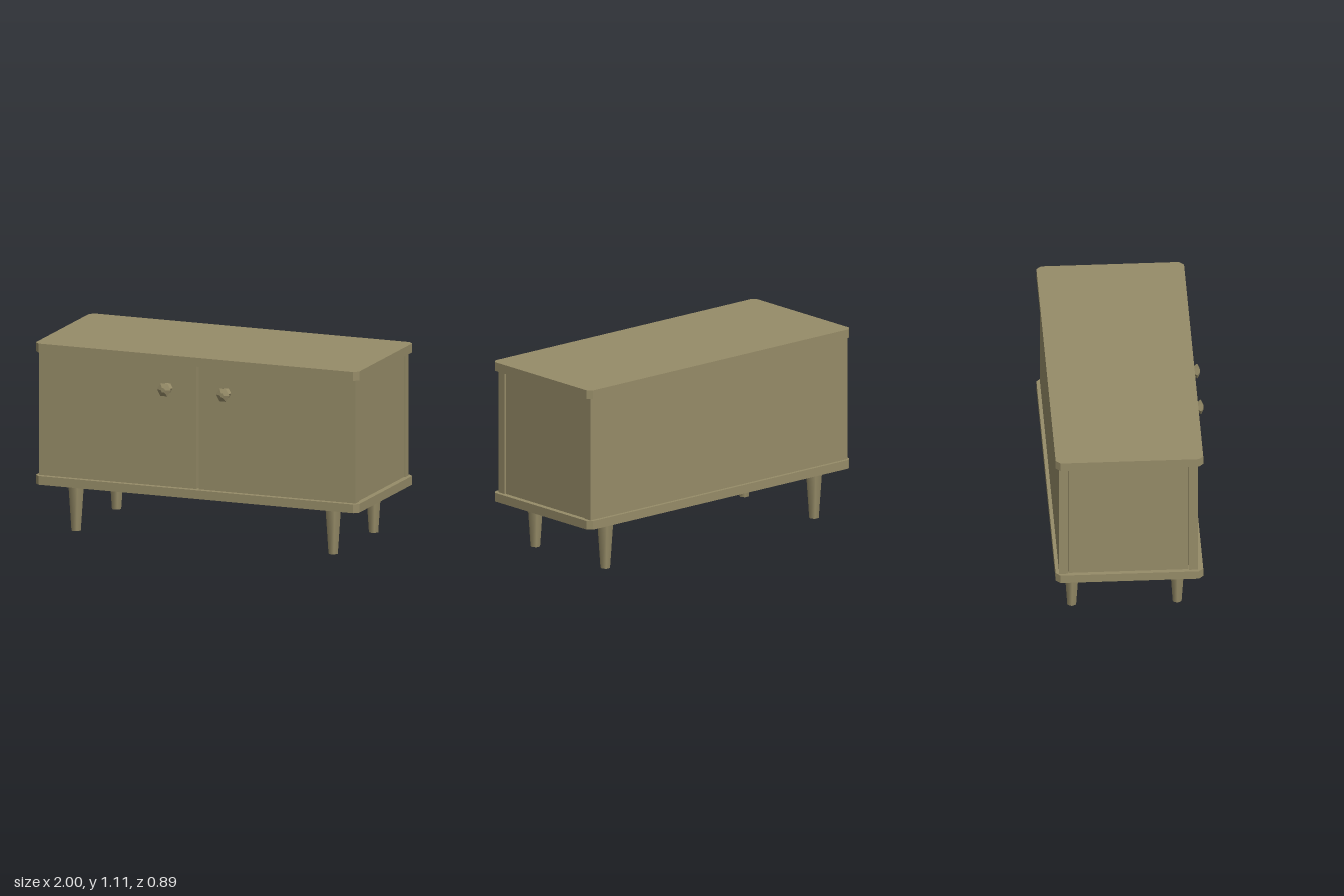
import * as THREE from 'three';

const wood = new THREE.MeshStandardMaterial({ color: 0x968c68 });
const woodFlat = new THREE.MeshStandardMaterial({ color: 0x968c68, flatShading: true });

export function createModel() {
  const model = new THREE.Group();
  model.name = 'sideboard';

  const add = (name, geometry, material = wood) => {
    const mesh = new THREE.Mesh(geometry, material);
    mesh.name = name;
    model.add(mesh);
    return mesh;
  };

  // Box given by its limits on each axis
  const panel = (name, [x0, x1], [y0, y1], [z0, z1]) =>
    add(name, new THREE.BoxGeometry(x1 - x0, y1 - y0, z1 - z0))
      .position.set((x0 + x1) / 2, (y0 + y1) / 2, (z0 + z1) / 2);

  // Top and bottom boards with clipped corners
  const board = (name, y0, y1) => {
    const w = 1, d = 0.4225, c = 0.027;
    const outline = new THREE.Shape([
      [-w + c, -d], [w - c, -d], [w, -d + c], [w, d - c],
      [w - c, d], [-w + c, d], [-w, d - c], [-w, -d + c],
    ].map(([x, y]) => new THREE.Vector2(x, y)));
    const geometry = new THREE.ExtrudeGeometry(outline, { depth: y1 - y0, bevelEnabled: false });
    geometry.rotateX(-Math.PI / 2).translate(0, y0, -0.0225);
    add(name, geometry, woodFlat);
  };
  board('topBoard', 1.055, 1.107);
  board('bottomBoard', 0.28, 0.331);

  // Carcass: back, two sides with narrow gaps, two doors
  panel('backPanel', [-0.982, 0.976], [0.331, 1.055], [-0.425, -0.375]);
  panel('rightSide', [-0.974, -0.925], [0.331, 1.05], [-0.372, 0.314]);
  panel('leftSide', [0.919, 0.968], [0.331, 1.05], [-0.372, 0.314]);
  panel('rightDoor', [-0.982, -0.011], [0.331, 1.055], [0.319, 0.37]);
  panel('leftDoor', [0.005, 0.976], [0.331, 1.055], [0.319, 0.37]);

  // Six-sided flared knobs
  const knobProfile = [[0, 0], [0.031, 0], [0.021, 0.026], [0.043, 0.058], [0.014, 0.072], [0, 0.072]]
    .map(([r, y]) => new THREE.Vector2(r, y));
  const knob = new THREE.LatheGeometry(knobProfile, 6).rotateY(Math.PI / 6).rotateX(Math.PI / 2);

  // Tapered six-sided legs
  const leg = new THREE.CylinderGeometry(0.049, 0.029, 0.281, 6).rotateY(Math.PI / 6);

  for (const [side, s] of [['left', 1], ['right', -1]]) {
    add(side + 'Knob', knob, woodFlat).position.set(s * 0.182 - 0.003, 0.91, 0.373);
    add(side + 'FrontLeg', leg).position.set(s * 0.795 - 0.003, 0.1405, 0.26);
    add(side + 'BackLeg', leg).position.set(s * 0.795 - 0.003, 0.1405, -0.344);
  }
  return model;
}
